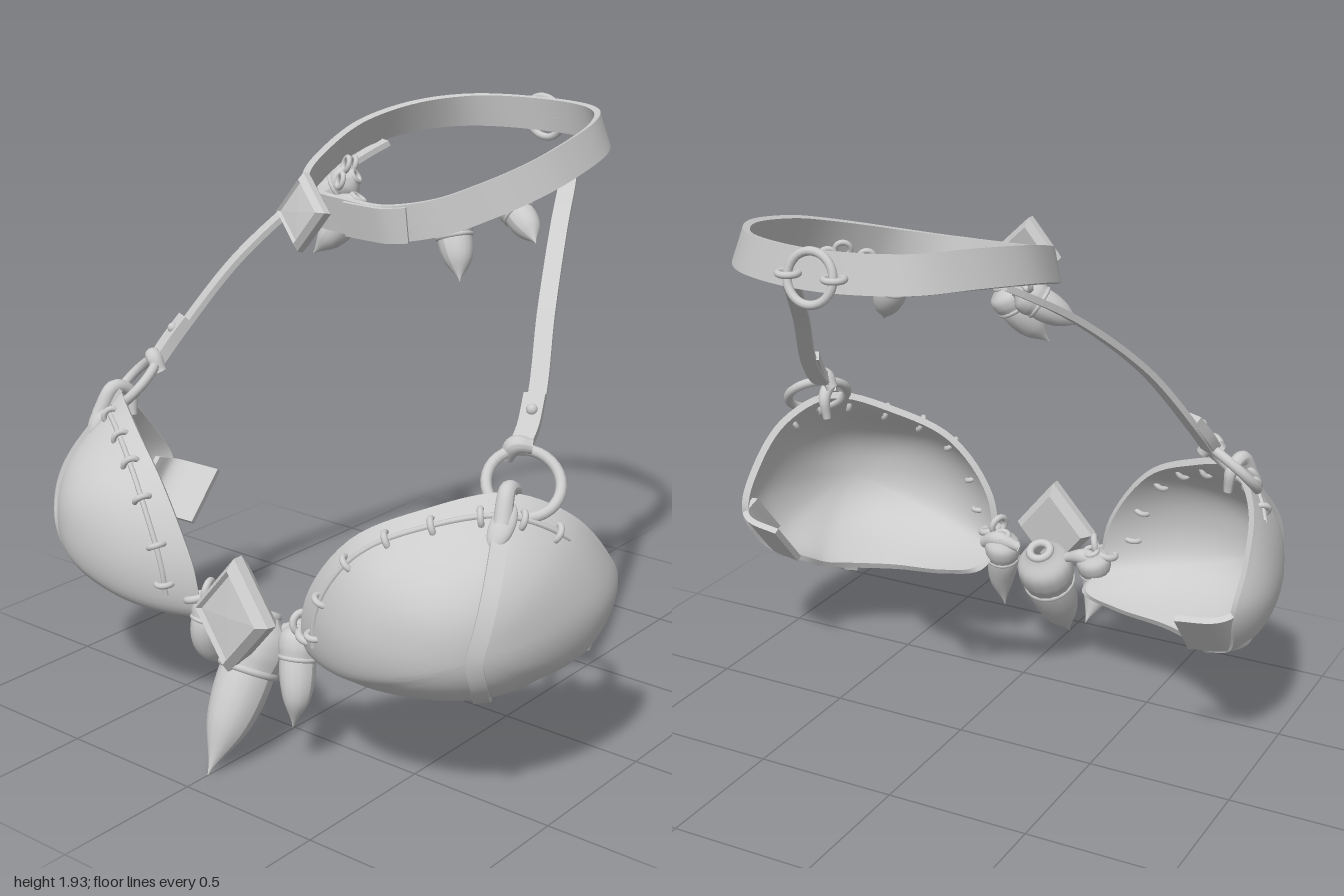
import * as THREE from 'three';
import { toCreasedNormals } from 'three/addons/utils/BufferGeometryUtils.js';

const V = (x, y, z) => new THREE.Vector3(x, y, z);
const mat = new THREE.MeshStandardMaterial({ color: 0xcccccc, side: THREE.DoubleSide });
const flatMat = new THREE.MeshStandardMaterial({ color: 0xcccccc, flatShading: true });
const curveOf = (pts, closed = false) => new THREE.CatmullRomCurve3(pts.map(p => p.isVector3 ? p : V(...p)), closed);

function add(parent, name, geo, pos = [0, 0, 0], material = mat) {
  const m = new THREE.Mesh(geo, material);
  m.name = name;
  m.position.set(...pos);
  parent.add(m);
  return m;
}

// Skin rows of points; every row is a closed loop.
function loft(rows) {
  const n = rows[0].length, pos = [], idx = [];
  rows.forEach(r => r.forEach(p => pos.push(p.x, p.y, p.z)));
  for (let v = 0; v < rows.length - 1; v++) for (let u = 0; u < n; u++) {
    const a = v * n + u, b = v * n + (u + 1) % n;
    idx.push(a, b, b + n, a, b + n, a + n);
  }
  const g = new THREE.BufferGeometry();
  g.setAttribute('position', new THREE.Float32BufferAttribute(pos, 3));
  g.setIndex(idx);
  g.computeVertexNormals();
  return g;
}

// Flat strip along a curve; widthDir(point, tangent) gives the wide direction.
function ribbon(curve, width, thick, widthDir, n = 40) {
  const rows = [];
  for (let i = 0; i <= n; i++) {
    const p = curve.getPointAt(i / n), t = curve.getTangentAt(i / n);
    const w = widthDir(p, t).normalize(), d = t.clone().cross(w).normalize();
    rows.push([[1, 1], [-1, 1], [-1, -1], [1, -1]].map(([a, b]) =>
      p.clone().addScaledVector(w, a * width / 2).addScaledVector(d, b * thick / 2)));
  }
  if (!curve.closed) {
    rows.unshift(Array(4).fill(curve.getPointAt(0)));
    rows.push(Array(4).fill(curve.getPointAt(1)));
  }
  return toCreasedNormals(loft(rows), 0.7);
}

// Round tube whose radius follows a list of values.
function taper(pts, radii, n = 20, sides = 16) {
  const curve = curveOf(pts), g = new THREE.TubeGeometry(curve, n, 1, sides);
  const rc = new THREE.SplineCurve(radii.map((r, i) => new THREE.Vector2(i, r)));
  const p = g.attributes.position, v = V(0, 0, 0);
  for (let i = 0; i < p.count; i++) {
    const t = Math.floor(i / (sides + 1)) / n, c = curve.getPointAt(t);
    v.fromBufferAttribute(p, i).sub(c).multiplyScalar(Math.max(0.001, rc.getPoint(t).y)).add(c);
    p.setXYZ(i, v.x, v.y, v.z);
  }
  g.computeVertexNormals();
  return g;
}

function ring(parent, name, pos, R, r, normal) {
  const m = add(parent, name, new THREE.TorusGeometry(R, r, 10, 32), pos);
  m.quaternion.setFromUnitVectors(V(0, 0, 1), normal.clone().normalize());
  return m;
}

// Cup shell: directions fan out from the apex to the rim around a centre.
const C = V(0.6, 0.62, 0.36), apex = V(0.28, -0.04, 0.36).normalize();
const rim = curveOf([
  [0.21, 0.41, 0.68], [0.24, 0.6, 0.71], [0.39, 0.82, 0.68], [0.59, 0.935, 0.59], [0.8, 1.0, 0.46],
  [0.92, 0.92, 0.31], [0.96, 0.77, 0.165], [0.955, 0.63, 0.08], [0.92, 0.46, 0.17], [0.81, 0.38, 0.27],
  [0.77, 0.34, 0.34], [0.7, 0.32, 0.42], [0.55, 0.31, 0.51], [0.35, 0.325, 0.53], [0.21, 0.36, 0.55]], true);
function cupPoint(i, t, inset = 0) {
  const d = rim.getPoint(i / 15).sub(C), len = d.length();
  d.normalize();
  const ang = apex.angleTo(d);
  const dir = apex.clone().multiplyScalar(Math.sin((1 - t) * ang))
    .addScaledVector(d, Math.sin(t * ang)).normalize();
  const p = 2.3, e = Math.pow(Math.abs(dir.x / 0.382) ** p + Math.abs(dir.y / 0.32) ** p + Math.abs(dir.z / 0.455) ** p, -1 / p);
  return C.clone().addScaledVector(dir, THREE.MathUtils.lerp(e, len, t * t) - inset);
}
const acrossSurface = (p, t) => t.clone().cross(p.clone().sub(C));

function cupSide() {
  const g = new THREE.Group(), rows = [], N = 90, M = 24;
  const row = (t, inset) => rows.push(Array.from({ length: N }, (_, k) => cupPoint(k * 15 / N, t, inset)));
  for (let j = 0; j <= M; j++) row(j / M, 0);
  for (let j = M; j >= 0; j--) row(j / M, 0.025);
  add(g, 'cup', toCreasedNormals(loft(rows), 0.8));

  // Side wing wrapping round to the back
  const wing = curveOf([[0.95, 0.57, 0.23], [0.945, 0.545, 0.16], [0.9, 0.53, 0.125], [0.77, 0.52, 0.1]]);
  add(g, 'wing', ribbon(wing, 0.215, 0.022, () => V(0, 0.16, -0.14), 24));

  // Band over the middle of the cup
  const seam = [];
  for (let k = 0; k <= 6; k++) seam.push(cupPoint(4, 1 - k / 6, -0.006));
  for (let k = 1; k <= 6; k++) seam.push(cupPoint(11, k / 6, -0.006));
  add(g, 'cupBand', ribbon(curveOf(seam), 0.05, 0.014, acrossSurface, 50));

  // Stitched piping below the upper edge
  const piping = Array.from({ length: 14 }, (_, k) => cupPoint(0.4 + k * 0.37, 0.86));
  add(g, 'piping', new THREE.TubeGeometry(curveOf(piping), 50, 0.009, 8));
  for (let k = 0; k < 8; k++) {
    const u = 0.6 + k * 0.62, p = cupPoint(u, 0.86, 0.008);
    ring(g, 'stitch', p.toArray(), 0.026, 0.01, cupPoint(u + 0.1, 0.86, 0.008).sub(p));
  }

  // Ring and its leaf-shaped tab
  ring(g, 'strapRing', [0.81, 1.01, 0.39], 0.11, 0.017, V(0.45, 0.68, 0.5));
  const tabAt = cupPoint(4, 0.79, -0.008);
  const tab = add(g, 'ringTab', new THREE.SphereGeometry(1, 20, 14), tabAt.toArray());
  tab.scale.set(0.038, 0.075, 0.022);
  tab.rotation.set(-0.7, 0.3, 0);
  add(g, 'tabLoop', taper([tabAt, [0.815, 1.015, 0.48], [0.8, 0.99, 0.42], [0.79, 0.91, 0.42]], [0.028, 0.026, 0.022, 0.015]));

  // Shoulder strap with folded end and rivet
  const flat = () => V(0.89, 0, -0.45);
  const strap = curveOf([[0.75, 1.08, 0.33], [0.73, 1.19, 0.22], [0.635, 1.42, 0.03], [0.51, 1.63, -0.22], [0.42, 1.74, -0.4], [0.38, 1.775, -0.46]]);
  add(g, 'shoulderStrap', ribbon(strap, 0.055, 0.02, flat));
  add(g, 'strapFold', ribbon(curveOf([[0.755, 1.09, 0.335], [0.75, 1.14, 0.285], [0.725, 1.22, 0.215]]), 0.065, 0.035, flat, 10));
  add(g, 'rivet', new THREE.SphereGeometry(0.018, 12, 8), [0.745, 1.19, 0.26]);
  add(g, 'strapLoop', taper([[0.72, 1.06, 0.35], [0.75, 1.105, 0.35], [0.79, 1.1, 0.32]], [0.022, 0.028, 0.022]));

  // Knots joining the cup to the chest fangs
  ring(g, 'knot', [0.24, 0.47, 0.69], 0.035, 0.013, V(0.3, 1, 0));
  ring(g, 'knot', [0.2, 0.5, 0.68], 0.032, 0.012, V(1, 0.2, 0.4));
  add(g, 'link', taper([[0.25, 0.43, 0.66], [0.18, 0.46, 0.64], [0.1, 0.44, 0.65]], [0.025, 0.03, 0.018]));
  return g;
}

// Fang with a bead socket at its root
function fang(parent, name, pts, r) {
  const g = new THREE.Group();
  g.name = name;
  parent.add(g);
  add(g, 'tooth', taper(pts, [0.75 * r, r, 0.78 * r, 0.001]));
  const a = V(...pts[0]), b = V(...pts[1]), ax = b.clone().sub(a).normalize();
  const end = a.clone().lerp(b, 0.95);
  add(g, 'cap', taper([a.clone().addScaledVector(ax, -0.3 * r), a.clone().lerp(b, 0.3), a.clone().lerp(b, 0.7), end],
    [0.55 * r, 1.08 * r, 1.16 * r, 1.04 * r]));
  ring(g, 'capRim', end.toArray(), r * 0.97, r * 0.14, ax);
  ring(g, 'socket', a.clone().addScaledVector(ax, -0.3 * r).toArray(), r * 0.42, r * 0.17, ax);
}

// Four-sided gem with a thin raised frame
function gem(parent, name, pos, w, h, d, rot) {
  const profile = [[0, -0.5], [0.8, -0.5], [1, -0.15], [0.98, 0.2], [0.8, 0.5], [0.72, 0.36], [0, 0.42]];
  const geo = new THREE.LatheGeometry(profile.map(p => new THREE.Vector2(...p)), 4);
  geo.rotateX(Math.PI / 2).scale(w, h, d);
  add(parent, name, geo, pos, flatMat).rotation.set(...rot);
}

export function createModel() {
  const model = new THREE.Group();
  const left = cupSide(), right = cupSide();
  left.name = 'leftSide';
  right.name = 'rightSide';
  right.scale.x = -1;
  model.add(left, right);

  // Collar, leaning inward towards its top edge at the sides
  const height = z => 1.66 + 0.205 * Math.sin(Math.min(1, (0.22 - z) / 1.05) * Math.PI / 2);
  const outline = [[0.455, -0.3], [0.41, -0.6], [0.28, -0.78], [0, -0.855], [-0.25, -0.78], [-0.36, -0.6], [-0.405, -0.35],
    [-0.36, -0.1], [-0.29, 0.08], [-0.19, 0.17], [0, 0.205], [0.16, 0.21], [0.3, 0.13], [0.38, 0], [0.435, -0.15]];
  const collar = curveOf(outline.map(([x, z]) => V(x, height(z), z)), true);
  const lean = (p, t) => {
    const w = V(-0.9 * (p.x - 0.02), 1, 0.15);
    return w.addScaledVector(t, -w.dot(t));
  };
  add(model, 'collar', ribbon(collar, 0.115, 0.022, lean, 90));
  const lap = curveOf([[0, 1.66, 0.222], [0.09, 1.66, 0.23], [0.17, 1.66, 0.228], [0.23, 1.665, 0.2]]);
  add(model, 'collarOverlap', ribbon(lap, 0.112, 0.015, lean, 12));
  ring(model, 'collarRing', [0, 1.85, -0.885], 0.075, 0.013, V(0, -0.2, 1));
  for (const s of [-1, 1]) ring(model, 'collarRingLoop', [s * 0.075, 1.855, -0.88], 0.03, 0.01, V(0, 1, 0));

  // Gems
  gem(model, 'collarGem', [-0.1, 1.68, 0.305], 0.115, 0.125, 0.065, [-0.22, -0.15, 0.08]);
  gem(model, 'chestGem', [0, 0.5, 0.765], 0.155, 0.19, 0.1, [-0.1, 0, 0]);

  // Chest fangs
  fang(model, 'centreFang', [[0, 0.43, 0.64], [0, 0.29, 0.72], [0, 0.15, 0.81], [0, 0.005, 0.91]], 0.09);
  fang(model, 'leftFang', [[0.17, 0.46, 0.65], [0.18, 0.37, 0.68], [0.2, 0.27, 0.71], [0.19, 0.155, 0.72]], 0.058);
  fang(model, 'rightFang', [[-0.2, 0.47, 0.65], [-0.205, 0.39, 0.68], [-0.215, 0.31, 0.67], [-0.2, 0.21, 0.61]], 0.055);

  // Collar fangs hanging inside the band
  fang(model, 'collarFang', [[0.22, 1.645, -0.04], [0.24, 1.59, -0.03], [0.27, 1.53, -0.01], [0.3, 1.465, 0.02]], 0.056);
  fang(model, 'collarFang', [[-0.19, 1.645, -0.06], [-0.22, 1.59, -0.04], [-0.26, 1.53, -0.01], [-0.31, 1.47, 0.02]], 0.056);
  fang(model, 'collarFang', [[0.35, 1.69, -0.18], [0.39, 1.66, -0.17], [0.44, 1.625, -0.15], [0.49, 1.59, -0.12]], 0.05);
  fang(model, 'collarFang', [[-0.32, 1.69, -0.2], [-0.37, 1.655, -0.18], [-0.42, 1.62, -0.15], [-0.48, 1.585, -0.12]], 0.05);
  for (const s of [-1, 1]) for (const [x, y, z] of [[0.29, 1.7, -0.1], [0.33, 1.74, -0.18], [0.35, 1.73, -0.24]])
    ring(model, 'fangLoop', [s * x, y, z], 0.025, 0.009, V(s * 0.5, 0.3, 0.8));
  return model;
}
